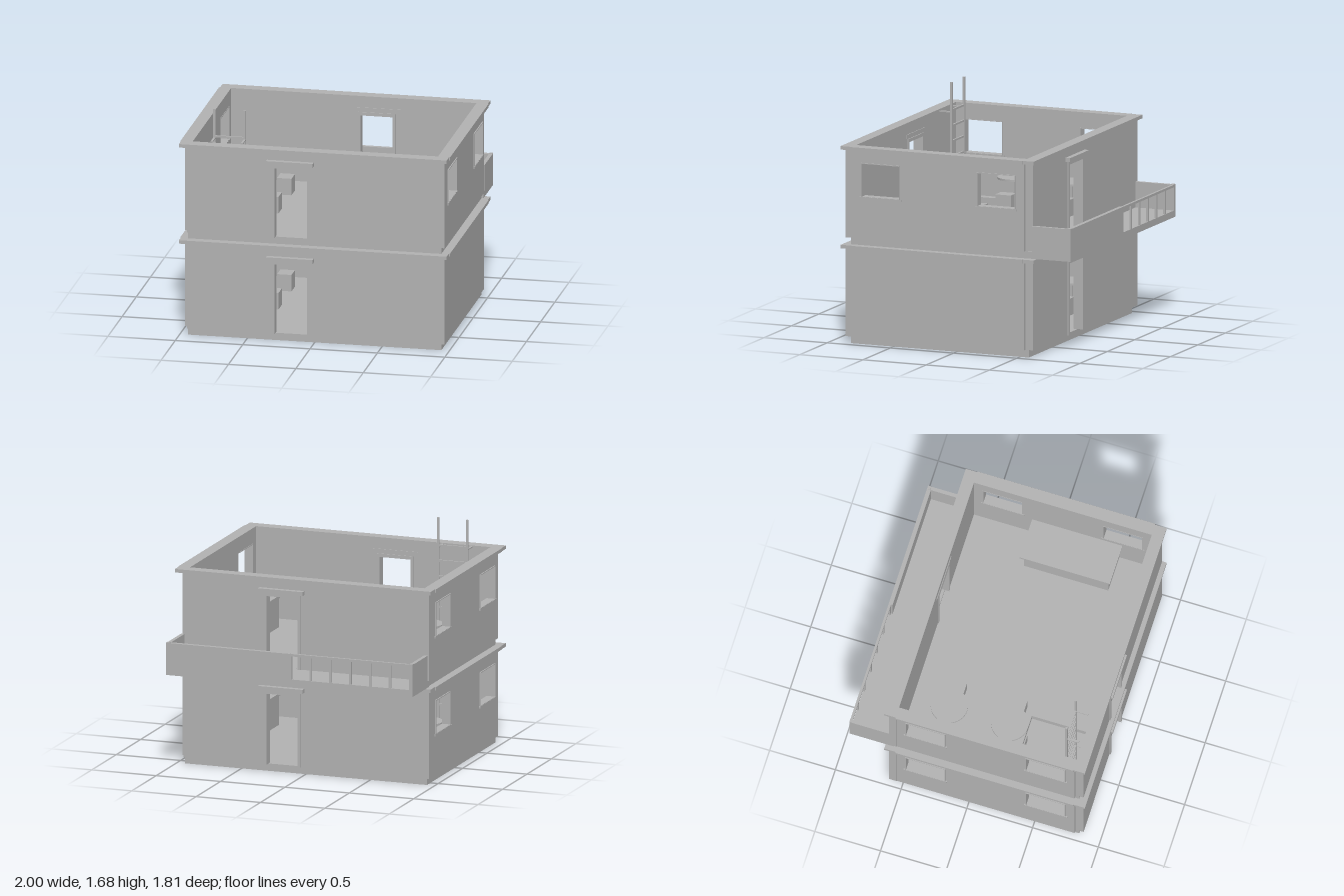
import * as THREE from 'three';

const plaster = new THREE.MeshStandardMaterial({ color: 0xb2b2b2 });
plaster.name = 'plaster grey';

const STOREY = 0.73, CENTRE_Z = 0.133;

function add(parent, name, geometry) {
  const mesh = new THREE.Mesh(geometry, plaster);
  mesh.name = name;
  parent.add(mesh);
  return mesh;
}

// Box given by its lower and upper limits on each axis
function box(parent, name, [x0, x1], [y0, y1], [z0, z1]) {
  const mesh = add(parent, name, new THREE.BoxGeometry(x1 - x0, y1 - y0, z1 - z0));
  mesh.position.set((x0 + x1) / 2, (y0 + y1) / 2, (z0 + z1) / 2);
  return mesh;
}

function group(parent, name) {
  const g = new THREE.Group();
  g.name = name;
  parent.add(g);
  return g;
}

function rectangle(Type, x0, x1, y0, y1) {
  return new Type([[x0, y0], [x1, y0], [x1, y1], [x0, y1]].map(p => new THREE.Vector2(...p)));
}

function extrude(shape, depth) {
  return new THREE.ExtrudeGeometry(shape, { depth, bevelEnabled: false });
}

// Long wall with a doorway, its frame, lintel and cornice
function doorWall(parent, name) {
  const g = group(parent, name);
  const outline = [[-0.94, 0.055], [-0.29, 0.055], [-0.29, 0.585], [-0.05, 0.585],
    [-0.05, 0.055], [0.97, 0.055], [0.97, 0.705], [-0.94, 0.705]];
  const wall = add(g, 'wall', extrude(new THREE.Shape(outline.map(p => new THREE.Vector2(...p))), 0.06));
  wall.position.z = 0.676;
  const depth = [0.67, 0.745];
  box(g, 'doorJamb', [-0.312, -0.29], [0.055, 0.61], depth);
  box(g, 'doorJamb', [-0.05, -0.03], [0.055, 0.61], depth);
  box(g, 'doorHead', [-0.29, -0.05], [0.585, 0.61], depth);
  box(g, 'lintel', [-0.347, 0], [0.615, 0.645], [0.671, 0.773]);
  box(g, 'cornice', [-0.995, 0.992], [0.705, 0.731], [0.676, 0.764]);
  return g;
}

// Short wall, with or without two framed windows
function sideWall(parent, name, hasWindows) {
  const g = group(parent, name);
  const shape = rectangle(THREE.Shape, -0.676, 0.676, 0.055, 0.705);
  const spans = hasWindows ? [[-0.61, -0.305], [0.305, 0.61]] : [];
  for (const [a, b] of spans) shape.holes.push(rectangle(THREE.Path, a, b, 0.36, 0.615));
  const wall = add(g, 'wall', extrude(shape, 0.057));
  wall.rotation.y = Math.PI / 2;
  wall.position.x = 0.91;
  for (const [a, b] of spans) {
    // Thin lining around the opening
    const lining = rectangle(THREE.Shape, a, b, 0.36, 0.615);
    lining.holes.push(rectangle(THREE.Path, a + 0.006, b - 0.006, 0.366, 0.609));
    const frame = add(g, 'windowFrame', extrude(lining, 0.068));
    frame.rotation.y = Math.PI / 2;
    frame.position.x = 0.907;
    box(g, 'windowSill', [0.905, 0.977], [0.348, 0.364], [a - 0.012, b + 0.012]);
  }
  box(g, 'cornice', [0.91, 1], [0.705, 0.731], [-0.676, 0.676]);
  return g;
}

function furniture(parent) {
  // Round tables with a pair of stools each
  for (const z of [-0.383, 0.077]) {
    const set = group(parent, 'tableSet');
    set.position.set(-0.625, 0.055, z);
    add(set, 'tableTop', new THREE.CylinderGeometry(0.136, 0.136, 0.015, 40)).position.y = 0.213;
    add(set, 'tableLeg', new THREE.CylinderGeometry(0.016, 0.016, 0.206, 20)).position.y = 0.103;
    box(set, 'stool', [-0.25, -0.138], [0, 0.125], [-0.061, 0.061]);
    box(set, 'stool', [0.13, 0.237], [0, 0.125], [-0.061, 0.061]);
  }
  // Counter with an overhanging top
  box(parent, 'counterBody', [0.64, 0.91], [0.055, 0.295], [-0.21, 0.43]);
  box(parent, 'counterTop', [0.602, 0.91], [0.295, 0.315], [-0.233, 0.453]);
}

function ladder(parent) {
  const g = group(parent, 'ladder');
  for (const x of [-0.775, -0.55]) {
    box(g, 'ladderRail', [x - 0.008, x + 0.008], [0.055, 0.95], [0.547, 0.563]);
    box(g, 'ladderBracket', [x - 0.008, x + 0.008], [0.725, 0.733], [0.563, 0.65]);
  }
  for (let i = 0; i < 6; i++) {
    const y = 0.742 - i * 0.115;
    box(g, 'ladderRung', [-0.767, -0.558], [y - 0.007, y + 0.007], [0.549, 0.561]);
  }
}

function storey(parent, name, windowsRight) {
  const g = group(parent, name);
  doorWall(g, 'frontWall');
  doorWall(g, 'backWall').rotation.y = Math.PI;
  sideWall(g, 'leftWall', windowsRight);
  sideWall(g, 'rightWall', true).rotation.y = Math.PI;
  furniture(g);
  ladder(g);
  return g;
}

function balcony(parent) {
  const g = group(parent, 'balcony');
  box(g, 'balconyFloor', [-0.957, 0.957], [0.735, 0.785], [-0.907, -0.572]);
  for (const s of [-1, 1]) {
    const span = s < 0 ? [-0.957, -0.93] : [0.93, 0.957];
    box(g, 'endPanel', span, [0.785, 0.975], [-0.882, -0.601]);
    box(g, 'cornerPost', span, [0.785, 0.978], [-0.907, -0.882]);
  }
  box(g, 'solidParapet', [0, 0.93], [0.785, 0.975], [-0.907, -0.877]);
  // Open railing
  box(g, 'handRail', [-0.93, 0], [0.957, 0.975], [-0.907, -0.889]);
  for (let i = 0; i < 6; i++) {
    const x = -0.008 - i * 0.154;
    box(g, 'baluster', [x - 0.008, x + 0.008], [0.785, 0.957], [-0.905, -0.891]);
  }
}

export function createModel() {
  const model = new THREE.Group();
  model.name = 'house';
  const building = group(model, 'building');
  building.position.z = CENTRE_Z;

  box(building, 'groundSlab', [-0.94, 0.94], [0, 0.055], [-0.703, 0.703]);

  // Upper floor with a ladder opening
  const slab = rectangle(THREE.Shape, -0.94, 0.94, -0.703, 0.703);
  slab.holes.push(rectangle(THREE.Path, -0.85, -0.45, -0.612, -0.19));
  const upperFloor = add(building, 'upperSlab', extrude(slab, 0.055));
  upperFloor.rotation.x = -Math.PI / 2;
  upperFloor.position.y = STOREY;

  storey(building, 'lowerStorey', false);
  storey(building, 'upperStorey', true).position.y = STOREY;
  balcony(model);
  return model;
}
